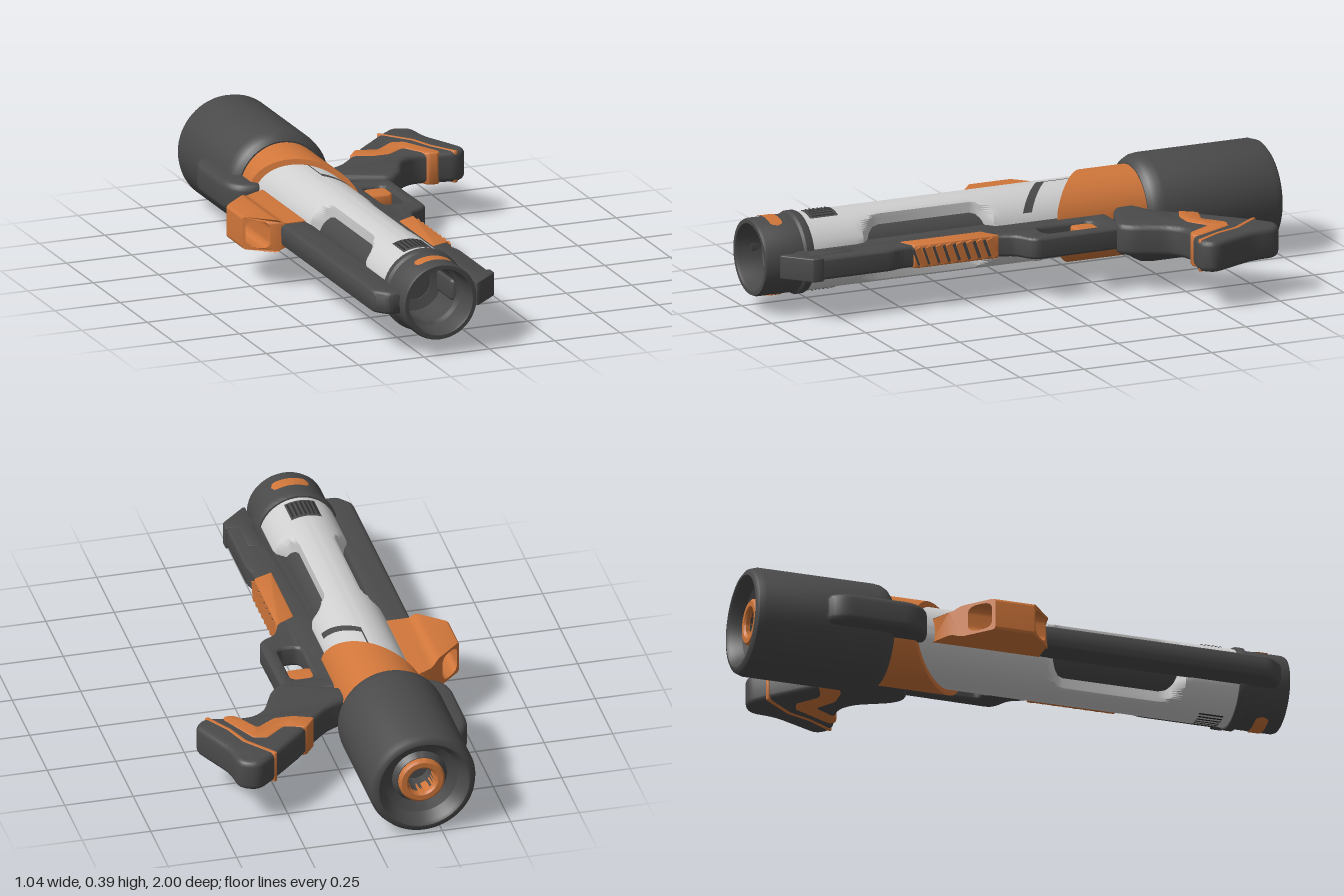
import * as THREE from 'three';
import { toCreasedNormals } from 'three/addons/utils/BufferGeometryUtils.js';

const CX = -0.185, CY = 0.2; // barrel axis, running along z

export function createModel() {
  const model = new THREE.Group();
  const mat = (name, color) => Object.assign(new THREE.MeshStandardMaterial({ color }), { name });
  const dark = mat('dark grey', 0x4a4a4a);
  const orange = mat('orange', 0xd0763a);
  const white = mat('light grey', 0xcfcfcf);
  const black = mat('vent black', 0x2c2c2c);
  for (const m of [orange, black]) m.side = THREE.DoubleSide;

  const add = (name, geo, material, x = 0, y = 0, z = 0) => {
    const mesh = new THREE.Mesh(toCreasedNormals(geo, 0.6), material);
    mesh.name = name;
    mesh.position.set(x, y, z);
    model.add(mesh);
    return mesh;
  };

  // Applies a rule to every vertex
  const reshape = (geo, rule) => {
    const p = geo.attributes.position, v = new THREE.Vector3();
    for (let i = 0; i < p.count; i++) {
      rule(v.fromBufferAttribute(p, i));
      p.setXYZ(i, v.x, v.y, v.z);
    }
    return geo;
  };

  // Polygon with softened corners
  const rounded = (pts, r, Kind = THREE.Shape) => {
    const s = new Kind(), P = pts.map(([x, y]) => new THREE.Vector2(x, y));
    P.forEach((p, i) => {
      const toward = q => p.clone().add(q.clone().sub(p).setLength(Math.min(r, q.distanceTo(p) * 0.45)));
      const a = toward(P[(i + P.length - 1) % P.length]), b = toward(P[(i + 1) % P.length]);
      if (i) s.lineTo(a.x, a.y); else s.moveTo(a.x, a.y);
      s.quadraticCurveTo(p.x, p.y, b.x, b.y);
    });
    s.closePath();
    return s;
  };
  const rect = (x0, y0, x1, y1) => [[x0, y0], [x1, y0], [x1, y1], [x0, y1]];

  // Slab from an (x, z) outline, centred on the axis height
  const slab = (name, pts, half, material, { r = 0.02, bevel = 0.012, hole } = {}) => {
    const shape = rounded(pts, r);
    if (hole) shape.holes.push(rounded(hole, 0.03, THREE.Path));
    const geo = new THREE.ExtrudeGeometry(shape, {
      depth: 2 * (half - bevel), curveSegments: 6, bevelEnabled: bevel > 0,
      bevelThickness: bevel, bevelSize: bevel, bevelOffset: -bevel, bevelSegments: 4,
    });
    geo.translate(0, 0, -(half - bevel)).rotateX(Math.PI / 2);
    return add(name, geo, material, 0, CY, 0);
  };

  // Turned part from [radius, z] points
  const turned = (name, pts, material) => add(name,
    new THREE.LatheGeometry(pts.map(([r, z]) => new THREE.Vector2(r, z)), 64).rotateX(Math.PI / 2),
    material, CX, CY, 0);

  // Thin plate wrapped on the barrel; edge(u) gives [z0, z1], u in 0..1 across the angle a0..a1 from the top
  const wrapped = (name, r, a0, a1, edge, material, below) => {
    const geo = reshape(new THREE.PlaneGeometry(1, 1, 20, 1), v => {
      const u = v.x + 0.5, a = a0 + (a1 - a0) * u, e = edge(u, a);
      v.set(Math.sin(a) * r, Math.cos(a) * r * (below ? -1 : 1), e[v.y > 0 ? 0 : 1]);
    });
    const m = add(name, geo, material, CX, CY, 0);
    return m;
  };

  // Rear canister with recessed end
  turned('rearCanister', [
    [0, -0.86], [0.05, -0.86], [0.05, -0.95], [0.085, -0.95], [0.1, -0.93], [0.135, -0.95], [0.155, -0.992],
    [0.165, -1], [0.175, -0.999], [0.187, -0.99], [0.195, -0.965],
    [0.195, -0.54], [0.192, -0.515], [0.182, -0.495], [0.165, -0.48], [0.1, -0.48],
  ], dark);
  turned('nozzleRing', [[0.05, -0.9], [0.05, -0.965], [0.057, -0.972], [0.075, -0.972], [0.083, -0.965], [0.083, -0.94]], orange);

  // Slanted collar
  const slant = dx => Math.min(-0.13, -0.265 + 0.9 * dx);
  const collar = new THREE.CylinderGeometry(0.16, 0.16, 1, 64, 1).rotateX(Math.PI / 2);
  add('slantedCollar', reshape(collar, v => { v.z = v.z > 0 ? slant(v.x) : -0.5; }), orange, CX, CY, 0);

  // Barrel shell, pinched at the sides to open two long pockets
  const rows = [[-0.45, 0.14], [0.08, 0.14], [0.105, 0.128], [0.14, 0.086], [0.155, 0.072], [0.175, 0.066],
    [0.53, 0.066], [0.555, 0.072], [0.575, 0.086], [0.615, 0.128], [0.64, 0.14], [0.83, 0.14]];
  const n = rows.length - 1;
  const shell = reshape(new THREE.CylinderGeometry(0.14, 0.14, 1, 96, n, true), v => {
    const [z, w] = rows[Math.round((v.y + 0.5) * n)];
    v.set(THREE.MathUtils.clamp(v.x, -w, w), -v.z, z);
  });
  add('barrelShell', shell, white, CX, CY, 0);
  add('innerTube', new THREE.CylinderGeometry(0.105, 0.105, 0.75, 48).rotateX(Math.PI / 2), dark, CX, CY, 0.37);

  // Muzzle with stepped bore
  turned('muzzle', [
    [0.13, 0.81], [0.146, 0.813], [0.149, 0.82], [0.149, 0.842], [0.14, 0.85], [0.14, 0.99], [0.136, 1],
    [0.122, 1], [0.118, 0.99], [0.115, 0.9], [0.102, 0.89], [0.1, 0.76], [0.064, 0.75], [0.062, 0.66], [0, 0.66],
  ], dark);

  // Painted details above and below the barrel
  for (const below of [false, true]) {
    wrapped('muzzleWindow', 0.143, -0.5, 0.5, u => {
      const k = Math.max(0, (Math.abs(u - 0.5) - 0.36) / 0.14);
      const h = 0.024 * Math.sqrt(Math.max(0, 1 - k * k));
      return [0.922 - h, 0.922 + h];
    }, orange, below);
    wrapped('ventPanel', 0.142, -0.4, 0.4, () => [0.68, 0.79], dark, below);
    for (let i = 0; i < 7; i++) {
      const a = -0.33 + i * 0.11;
      wrapped('ventSlot', 0.144, a - 0.025, a + 0.025, () => [0.69, 0.78], black, below);
    }
    wrapped('slashMark', 0.142, 0.04, 1.05, (u, a) => {
      const z = -0.155 + 0.9 * Math.sin(a) * 0.142;
      return [z, z + 0.035];
    }, dark, below);
    wrapped('slashLine', 0.142, 0.04, 0.075, () => [-0.26, -0.13], dark, below);
  }

  // Right-hand rail (model's far side) and rear pod
  slab('sideRail', [[-0.3, -0.1], [-0.41, -0.1], [-0.41, 0.9], [-0.365, 0.955], [-0.3, 0.955]], 0.042, dark, { bevel: 0.02 });
  slab('rearPod', [[-0.3, -0.72], [-0.39, -0.75], [-0.425, -0.69], [-0.425, -0.43], [-0.385, -0.37], [-0.3, -0.35]],
    0.055, dark, { r: 0.04, bevel: 0.025 });

  // Hollow side fin: a ring in xy stretched to slanted ends
  const fin = rounded([[-0.525, 0.14], [-0.425, 0.14], [-0.4, 0.155], [-0.31, 0.155],
    [-0.31, 0.245], [-0.4, 0.245], [-0.425, 0.26], [-0.525, 0.26]], 0.012);
  fin.holes.push(rounded(rect(-0.516, 0.15, -0.445, 0.25), 0.03, THREE.Path));
  const finGeo = reshape(new THREE.ExtrudeGeometry(fin, { depth: 1, bevelEnabled: false, curveSegments: 8 }), v => {
    v.z = v.z > 0.5 ? Math.min(0.065, -0.02 + (v.x + 0.525) * 0.85) : Math.max(-0.33, -0.165 - (v.x + 0.525) * 0.95);
  });
  add('sideFin', finGeo, orange);

  // Receiver rail with trigger opening
  slab('receiver', [
    [-0.1, -0.32], [0.15, -0.32], [0.155, 0.03], [0.14, 0.055], [0.085, 0.085], [0.065, 0.13],
    [0.055, 0.16], [0.055, 0.52], [0.068, 0.56], [0.068, 0.87], [-0.03, 0.955], [-0.03, 0.89], [-0.1, 0.89],
  ], 0.04, dark, { hole: rect(0.02, -0.235, 0.105, -0.02) });
  slab('trigger', rect(0.01, -0.24, 0.11, -0.155), 0.03, orange, { bevel: 0.008 });
  slab('frontInset', rect(-0.025, 0.69, 0.025, 0.86), 0.043, dark, { r: 0.004, bevel: 0.003 });
  slab('frontBlock', [[-0.03, 0.83], [0.073, 0.83], [0.073, 0.87], [-0.02, 0.955], [-0.03, 0.955]], 0.043, dark, { r: 0.005, bevel: 0.004 });

  // Ribbed foregrip
  slab('foregrip', [[-0.01, 0.18], [0.062, 0.14], [0.062, 0.47], [-0.01, 0.5]], 0.043, orange, { r: 0.008, bevel: 0.008 });
  for (let i = 0; i < 8; i++) {
    const rib = add('foregripRib', new THREE.BoxGeometry(0.014, 0.072, 0.022), orange, 0.064, CY, 0.17 + i * 0.04);
    rib.rotation.x = 0.35;
    const groove = add('foregripGroove', new THREE.BoxGeometry(0.006, 0.066, 0.012), dark, 0.061, CY, 0.19 + i * 0.039);
    groove.rotation.x = 0.35;
  }

  // Stock and its orange inlays
  slab('stock', [
    [-0.06, -0.43], [0.03, -0.47], [0.1, -0.54], [0.165, -0.62], [0.3, -0.75], [0.365, -0.805], [0.435, -0.775],
    [0.445, -0.67], [0.525, -0.49], [0.48, -0.44], [0.35, -0.47], [0.3, -0.465], [0.255, -0.43],
    [0.2, -0.31], [0.155, -0.27], [-0.06, -0.36],
  ], 0.057, dark, { r: 0.035, bevel: 0.02 });
  slab('stockBand', [
    [0.098, -0.54], [0.143, -0.6], [0.22, -0.575], [0.295, -0.637], [0.343, -0.625],
    [0.418, -0.475], [0.405, -0.453], [0.365, -0.462], [0.31, -0.555], [0.24, -0.508], [0.17, -0.51],
  ], 0.059, orange, { r: 0.012, bevel: 0.006 });
  slab('stockStripe', [
    [0.285, -0.742], [0.297, -0.75], [0.385, -0.64], [0.418, -0.55], [0.478, -0.452], [0.464, -0.447],
    [0.406, -0.543], [0.372, -0.632],
  ], 0.0585, orange, { r: 0.005, bevel: 0.002 });

  return model;
}
